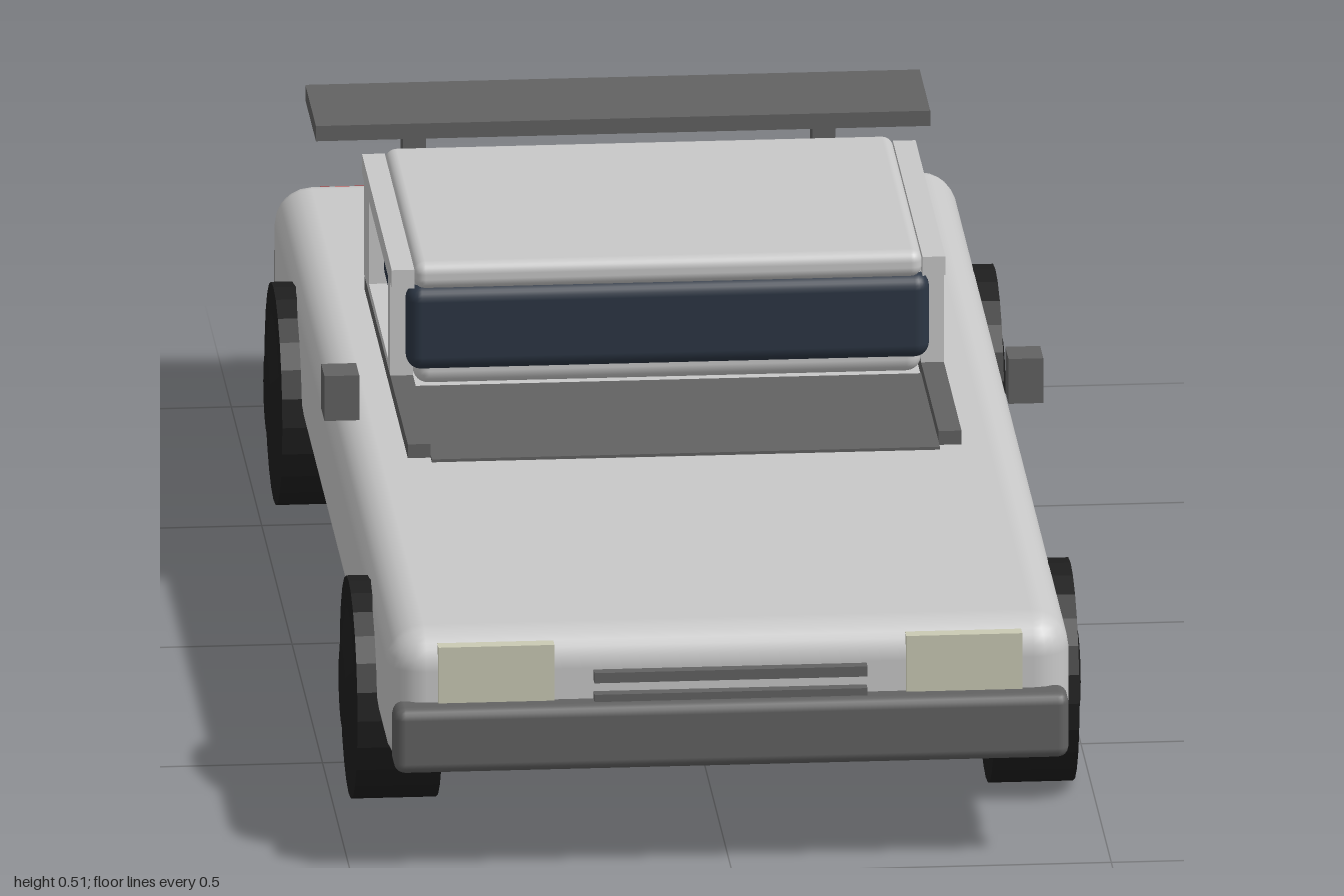
import * as THREE from 'three';
import { RoundedBoxGeometry } from 'three/addons/geometries/RoundedBoxGeometry.js';

const paint = (name, color) => {
  const m = new THREE.MeshStandardMaterial({ color });
  m.name = name;
  return m;
};

export function createModel() {
  const silver = paint('silver', 0xc8c8c8);
  const trim = paint('dark grey trim', 0x626262);
  const rubber = paint('black rubber', 0x1e1e1e);
  const glass = paint('tinted glass', 0x2c3644);
  const lampCream = paint('cream lamp', 0xcacab4);
  const lampRed = paint('red lamp', 0xb83030);

  const car = new THREE.Group();
  car.name = 'car';

  const add = (name, geometry, material) => {
    const mesh = new THREE.Mesh(geometry, material);
    mesh.name = name;
    car.add(mesh);
    return mesh;
  };
  // Boxes are given by their extents; a radius rounds the edges
  const box = (name, material, [x0, x1], [y0, y1], [z0, z1], radius = 0, segments = 3) => {
    const size = [x1 - x0, y1 - y0, z1 - z0];
    const geometry = radius
      ? new RoundedBoxGeometry(...size, segments, radius)
      : new THREE.BoxGeometry(...size);
    const mesh = add(name, geometry, material);
    mesh.position.set((x0 + x1) / 2, (y0 + y1) / 2, (z0 + z1) / 2);
    return mesh;
  };
  // The same box on the left and the right
  const pair = (name, material, [x0, x1], y, z) => {
    box(name + 'Left', material, [x0, x1], y, z);
    box(name + 'Right', material, [-x1, -x0], y, z);
  };

  // Lower body and bumpers
  box('body', silver, [-0.45, 0.45], [0.13, 0.327], [-0.967, 0.967], 0.05);
  box('frontBumper', trim, [-0.445, 0.445], [0.145, 0.235], [0.945, 1], 0.015, 2);
  box('rearBumper', trim, [-0.445, 0.445], [0.145, 0.235], [-1, -0.945], 0.015, 2);

  // Cabin: shell, wrap-around glass and roof
  box('cabinShell', silver, [-0.335, 0.335], [0.335, 0.5], [-0.53, -0.055], 0.02);
  box('cabinGlass', glass, [-0.345, 0.345], [0.358, 0.474], [-0.538, -0.043], 0.02);
  box('roof', silver, [-0.335, 0.335], [0.47, 0.507], [-0.545, -0.045], 0.015);

  // Side frames: T-shaped outline with a window opening (shape x runs along -z)
  const outline = new THREE.Shape([
    [0.07, 0.345], [0.5, 0.345], [0.5, 0.474], [0.535, 0.474],
    [0.535, 0.5], [0.045, 0.5], [0.045, 0.474], [0.07, 0.474],
  ].map(([a, b]) => new THREE.Vector2(a, b)));
  outline.holes.push(new THREE.Path([
    [0.107, 0.358], [0.107, 0.472], [0.42, 0.472], [0.42, 0.358],
  ].map(([a, b]) => new THREE.Vector2(a, b))));
  const frame = new THREE.ExtrudeGeometry(outline, { depth: 0.03, bevelEnabled: false });
  frame.rotateY(Math.PI / 2);
  add('sideFrameLeft', frame, silver).position.x = 0.335;
  add('sideFrameRight', frame, silver).position.x = -0.365;

  // Sill rails and the dark panel ahead of the cabin
  pair('sillRail', trim, [0.335, 0.365], [0.325, 0.346], [-0.49, 0.22]);
  box('cowlPanel', trim, [-0.335, 0.335], [0.325, 0.331], [-0.07, 0.24]);

  // Mirrors
  pair('mirror', trim, [0.428, 0.474], [0.377, 0.439], [0.155, 0.207]);

  // Rear wing on two posts
  box('rearWing', trim, [-0.405, 0.405], [0.434, 0.455], [-0.967, -0.793]);
  pair('wingPost', trim, [0.255, 0.285], [0.32, 0.436], [-0.9, -0.855]);

  // Lamps and grille
  pair('headlamp', lampCream, [0.232, 0.385], [0.232, 0.312], [0.93, 0.972]);
  pair('tailLamp', lampRed, [0.232, 0.385], [0.232, 0.312], [-0.972, -0.93]);
  box('tailStrip', lampRed, [-0.235, 0.235], [0.255, 0.273], [-0.971, -0.96]);
  for (const y of [0.231, 0.261]) {
    box('grilleBar', trim, [-0.18, 0.18], [y, y + 0.014], [0.96, 0.983]);
  }

  // Wheels: flat tread, raised hub on both faces
  const profile = [
    [0, -0.065], [0.055, -0.065], [0.105, -0.056], [0.147, -0.056],
    [0.147, 0.056], [0.105, 0.056], [0.055, 0.065], [0, 0.065],
  ].map(([r, x]) => new THREE.Vector2(r, x));
  const wheel = new THREE.LatheGeometry(profile, 24).toNonIndexed();
  wheel.computeVertexNormals();
  wheel.rotateZ(Math.PI / 2);
  for (const [end, z] of [['front', 0.63], ['rear', -0.607]]) {
    for (const [side, sx] of [['Left', 1], ['Right', -1]]) {
      add(`${end}Wheel${side}`, wheel, rubber).position.set(sx * 0.42, 0.148, z);
    }
  }

  return car;
}
